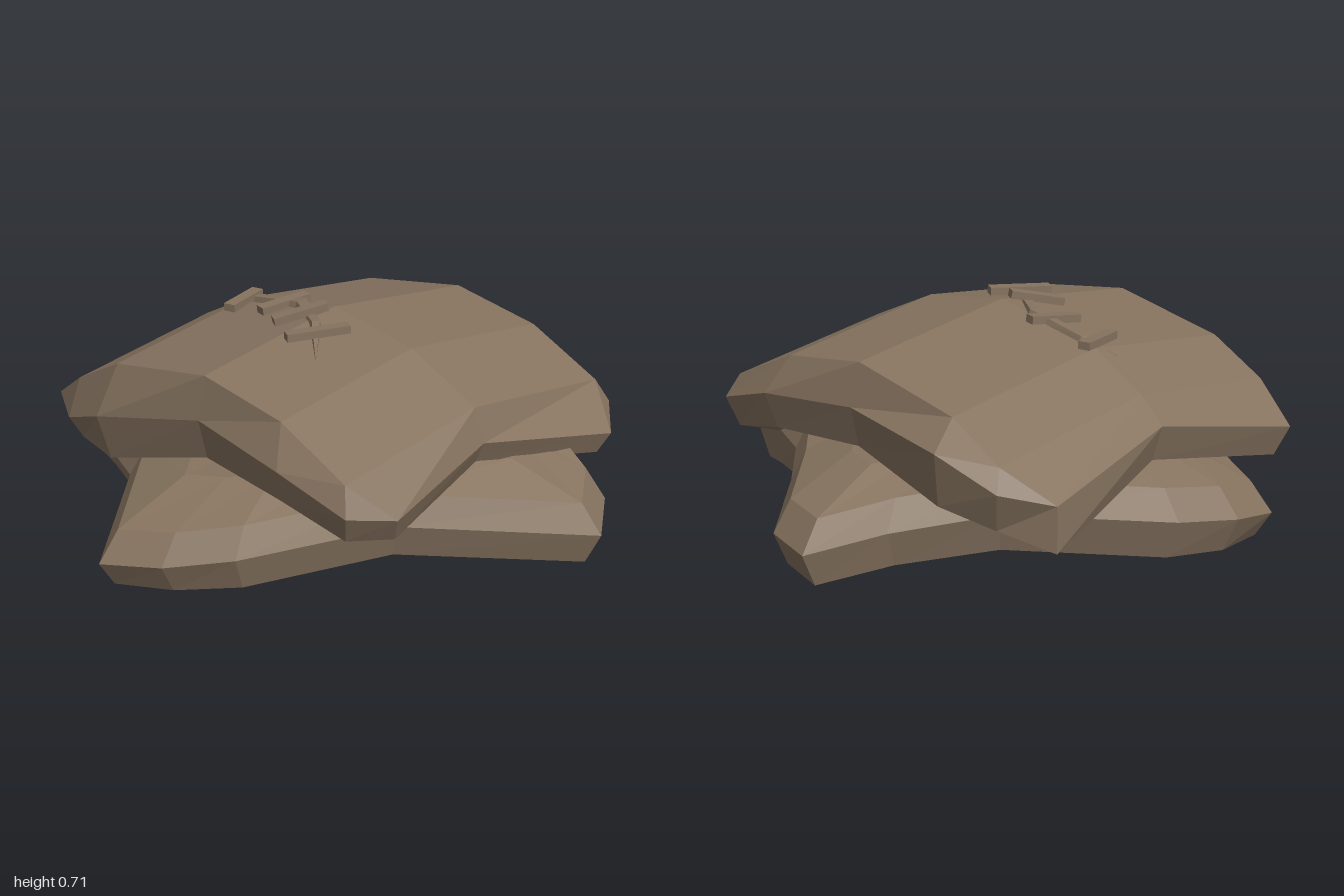
import * as THREE from 'three';

const hideBrown = new THREE.MeshStandardMaterial({ color: 0x86735f });
hideBrown.name = 'hide brown';

// Collects triangles from bands between rings and from grids of rows
class Skin {
  constructor() { this.out = []; }
  tri(a, b, c) {
    if (a !== b && b !== c && a !== c) this.out.push(...a, ...b, ...c);
  }
  band(upper, lower) {
    upper.forEach((u, i) => {
      const j = (i + 1) % upper.length;
      this.tri(u, upper[j], lower[j]);
      this.tri(u, lower[j], lower[i]);
    });
  }
  grid(rows, down) {
    for (let r = 0; r < rows.length - 1; r++) {
      for (let c = 0; c < rows[r].length - 1; c++) {
        const quad = [rows[r][c], rows[r + 1][c], rows[r + 1][c + 1], rows[r][c + 1]];
        if (down) quad.reverse();
        this.tri(quad[0], quad[1], quad[2]);
        this.tri(quad[0], quad[2], quad[3]);
      }
    }
  }
  mesh(name) {
    const g = new THREE.BufferGeometry();
    g.setAttribute('position', new THREE.Float32BufferAttribute(this.out, 3));
    g.computeVertexNormals();
    const m = new THREE.Mesh(g, hideBrown);
    m.name = name;
    return m;
  }
}

// Moves a ring towards the centre and sets its height by a rule
const reshape = (ring, s, height) => ring.map(([x, y, z], i) => [x * s, height(y, i), z * s]);

// Arched profile of the upper hide, highest along z = 0
const XS = [-0.66, -0.46, -0.04, 0.3, 0.57];
const RIDGE = [0.51, 0.615, 0.69, 0.635, 0.51];
function surfaceY(x, z) {
  let i = 0;
  while (i < XS.length - 2 && x > XS[i + 1]) i++;
  const t = (x - XS[i]) / (XS[i + 1] - XS[i]);
  return RIDGE[i] + t * (RIDGE[i + 1] - RIDGE[i]) - 0.08 * Math.abs(z) / 0.6;
}

function upperHide() {
  const skin = new Skin();
  // outermost edge, clockwise from the back right corner
  const rim = [
    [-0.82, 0.33, -0.53], [-0.69, 0.36, -0.65], [-0.51, 0.46, -0.73], [-0.04, 0.47, -0.65],
    [0.35, 0.43, -0.68], [0.6, 0.35, -0.65], [0.72, 0.31, -0.51], [0.61, 0.4, 0],
    [0.7, 0.33, 0.49], [0.6, 0.34, 0.61], [0.35, 0.43, 0.65], [-0.04, 0.47, 0.61],
    [-0.48, 0.37, 0.66], [-0.69, 0.29, 0.61], [-0.83, 0.32, 0.53], [-0.75, 0.43, 0],
  ];
  const lowY = [0.18, 0.23, 0.28, 0.335, 0.31, 0.25, 0.24, 0.33,
    0.25, 0.25, 0.32, 0.335, 0.22, 0.22, 0.22, 0.31];
  const hem = reshape(rim, 0.95, (y, i) => lowY[i]);
  hem[0] = [-0.82, 0.18, -0.53];

  const rows = [-0.61, 0, 0.58].map(z => XS.map(x => [x, surfaceY(x, z), z]));
  const lining = rows.map(row => row.map(([x, y, z]) => [x * 0.85, y - 0.2, z * 0.85]));
  const border = ([a, b, c]) => [a[0], a[0], a[1], a[2], a[3], a[4], a[4], b[4],
    c[4], c[4], c[3], c[2], c[1], c[0], c[0], b[0]];

  skin.grid(rows);
  skin.band(border(rows), rim);
  skin.band(rim, hem);
  skin.band(hem, border(lining));
  skin.grid(lining, true);
  return skin.mesh('upperHide');
}

function lowerHide() {
  const skin = new Skin();
  // four-cornered edge with a hollow between each pair of corners
  const rim = [
    [-0.22, 0.13, -1], [-0.02, 0.13, -0.95], [0.24, 0.16, -0.67], [0.4, 0.19, -0.52],
    [0.7, 0.2, -0.4], [0.82, 0.16, -0.36], [0.94, 0.125, -0.19], [0.5, 0.17, 0.28],
    [0.27, 0.14, 0.75], [0.1, 0.11, 0.9], [-0.09, 0.09, 0.99], [-0.42, 0.155, 0.58],
    [-0.78, 0.12, 0.4], [-0.92, 0.1, 0.34], [-0.94, 0.135, 0.15], [-0.87, 0.16, -0.05],
    [-0.5, 0.19, -0.45], [-0.32, 0.16, -0.75],
  ];
  const lowY = [0.015, 0.015, 0.04, 0.06, 0.03, 0.015, 0.02, 0.06,
    0.03, 0.015, 0.005, 0.06, 0.025, 0.015, 0.02, 0.03, 0.06, 0.04];
  const top = reshape(rim, 0.925, y => y + 0.095);
  const crown = reshape(rim, 0.66, y => y * 0.5 + 0.25);
  const hem = reshape(rim, 0.945, (y, i) => lowY[i]);
  const lining = reshape(hem, 0.5, () => 0.1);

  skin.band(rim.map(() => 0).fill([0, 0.35, 0]), crown);
  skin.band(crown, top);
  skin.band(top, rim);
  skin.band(rim, hem);
  skin.band(hem, lining);
  skin.band(lining, rim.map(() => 0).fill([0, 0.13, 0]));
  return skin.mesh('lowerHide');
}

// Raised seam tapering to a point at both ends
function seam() {
  const skin = new Skin();
  const path = [[-0.5, 0.06, 0.003], [-0.4, 0.01, 0.022], [-0.18, 0.015, 0.03],
    [0, 0.13, 0.022], [0.14, 0.27, 0.002]];
  const rows = path.map(([x, z, w], i) => {
    const p = path[Math.max(i - 1, 0)], n = path[Math.min(i + 1, path.length - 1)];
    const dx = n[0] - p[0], dz = n[1] - p[1], len = Math.hypot(dx, dz);
    return [[-1, -0.01], [-0.6, 0.018], [0.6, 0.018], [1, -0.01]].map(([s, h]) => {
      const px = x + dz / len * w * s, pz = z - dx / len * w * s;
      return [px, surfaceY(px, pz) + (h > 0 ? Math.min(h, w) : h), pz];
    });
  });
  skin.grid(rows, false);
  return skin.mesh('seam');
}

// Short bars laid across the seam
function stitches() {
  const group = new THREE.Group();
  group.name = 'stitches';
  const ends = [[-0.45, -0.04, -0.41, 0.13], [-0.22, -0.05, -0.265, 0.125],
    [-0.045, 0.035, -0.135, 0.19], [0.1, 0.08, 0.0, 0.265]];
  for (const [x0, z0, x1, z1] of ends) {
    const a = new THREE.Vector3(x0, surfaceY(x0, z0) + 0.018, z0);
    const b = new THREE.Vector3(x1, surfaceY(x1, z1) + 0.018, z1);
    const bar = new THREE.Mesh(new THREE.BoxGeometry(0.042, 0.026, a.distanceTo(b)), hideBrown);
    bar.name = 'stitch';
    bar.position.copy(a).lerp(b, 0.5);
    bar.lookAt(b);
    group.add(bar);
  }
  return group;
}

export function createModel() {
  const model = new THREE.Group();
  model.name = 'stackedHides';
  model.add(lowerHide(), upperHide(), seam(), stitches());
  return model;
}
